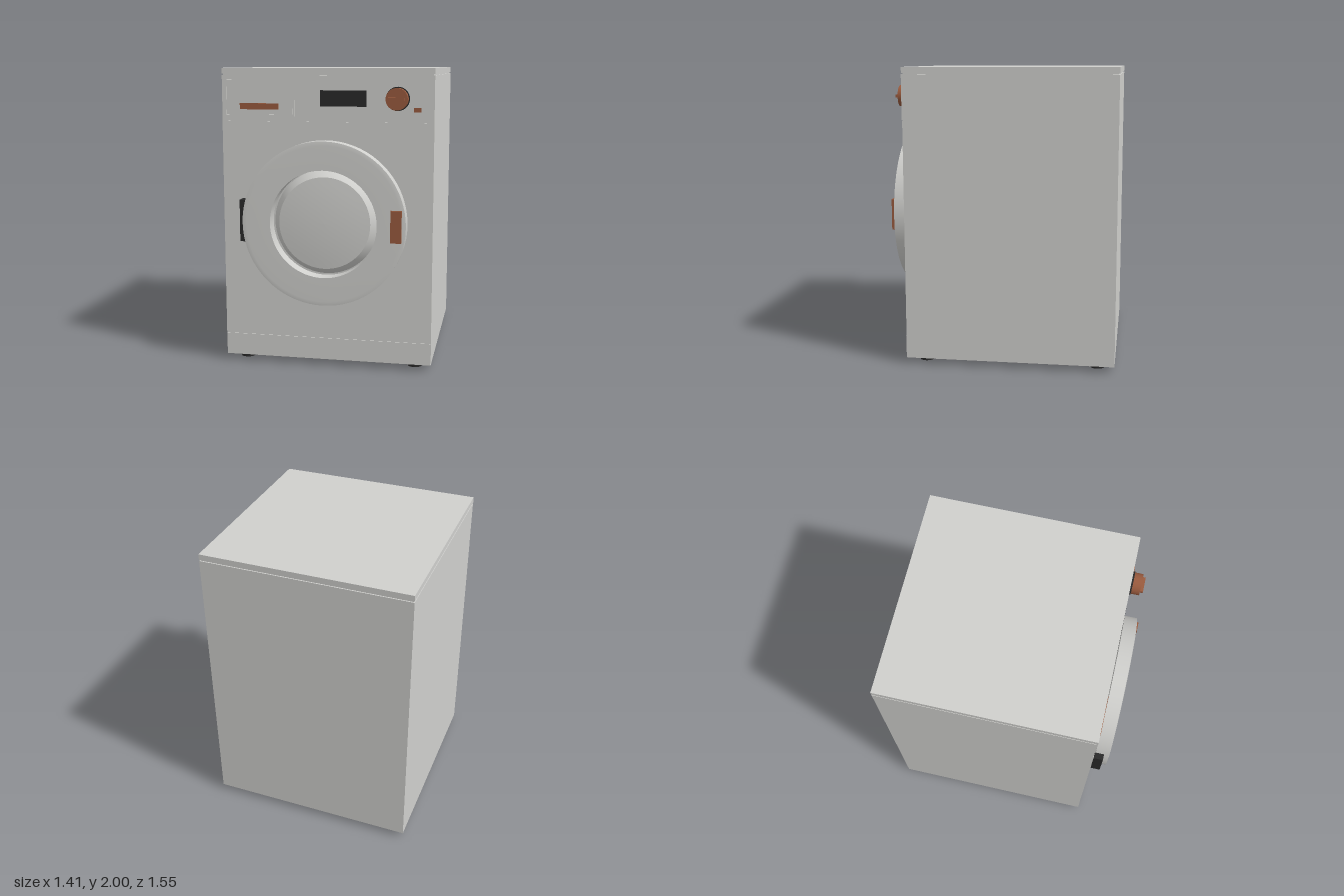
import * as THREE from 'three';

export function createModel() {
  const model = new THREE.Group();
  model.name = 'washingMachine';

  const material = (name, color, side = THREE.FrontSide) => {
    const m = new THREE.MeshStandardMaterial({ color, side });
    m.name = name;
    return m;
  };
  const enamel = material('light grey enamel', 0xd0d0cd);
  const copper = material('copper brown', 0x9a5b3e);
  const black = material('black plastic', 0x2a2a2a);

  const add = (name, geometry, mat, parent = model) => {
    const mesh = new THREE.Mesh(geometry, mat);
    mesh.name = name;
    parent.add(mesh);
    return mesh;
  };
  // Box given by its limits on each axis
  const box = (name, mat, [x0, x1], [y0, y1], [z0, z1], parent = model) => {
    const mesh = add(name, new THREE.BoxGeometry(x1 - x0, y1 - y0, z1 - z0), mat, parent);
    mesh.position.set((x0 + x1) / 2, (y0 + y1) / 2, (z0 + z1) / 2);
    return mesh;
  };
  // Cylinder pointing forward
  const knobDisc = (name, mat, radius, z0, z1, parent) => {
    const geometry = new THREE.CylinderGeometry(radius, radius, z1 - z0, 40);
    geometry.rotateX(Math.PI / 2);
    add(name, geometry, mat, parent).position.z = (z0 + z1) / 2;
  };
  // Surface of revolution about z, one lathe per smooth stretch of [radius, z] points
  const turned = (name, mat, stretches, parent) => {
    const group = new THREE.Group();
    group.name = name;
    stretches.forEach((points) => {
      const geometry = new THREE.LatheGeometry(points.map(([r, z]) => new THREE.Vector2(r, z)), 72);
      geometry.rotateX(Math.PI / 2);
      add(name + 'Surface', geometry, mat, group);
    });
    parent.add(group);
  };

  const W = 0.705, back = -0.773, front = 0.637;

  // Cabinet, lid and the groove between them
  box('cabinet', enamel, [-W, W], [0.04, 1.953], [back, 0.632]);
  box('lidGroove', enamel, [-W + 0.008, W - 0.008], [1.95, 1.964], [back + 0.008, front - 0.008]);
  box('lid', enamel, [-W, W], [1.962, 2], [back, front]);

  // Front panels
  box('frontPanel', enamel, [-W, W], [0.194, 1.652], [0.63, 0.635]);
  box('kickPlate', enamel, [-W + 0.002, W - 0.002], [0.042, 0.19], [0.63, front]);
  box('controlPanel', enamel, [-0.21, W], [1.656, 1.953], [0.63, 0.638]);

  // Detergent drawer inside a raised frame
  const outline = new THREE.Shape();
  const rect = (path, x0, x1, y0, y1) =>
    path.moveTo(x0, y0).lineTo(x1, y0).lineTo(x1, y1).lineTo(x0, y1).closePath();
  rect(outline, -0.685, -0.213, 1.685, 1.922);
  const opening = new THREE.Path();
  rect(opening, -0.675, -0.223, 1.695, 1.912);
  outline.holes.push(opening);
  add('drawerFrame', new THREE.ExtrudeGeometry(outline, { depth: 0.008, bevelEnabled: false }), enamel)
    .position.z = 0.63;
  box('drawerFront', enamel, [-0.671, -0.227], [1.699, 1.908], [0.63, 0.636]);
  box('drawerHandle', copper, [-0.58, -0.32], [1.73, 1.77], [0.634, 0.646]);

  // Display and button
  box('display', black, [-0.04, 0.267], [1.753, 1.857], [0.634, 0.642]);
  box('button', copper, [0.573, 0.622], [1.72, 1.748], [0.634, 0.648]);

  // Programme dial
  const dial = new THREE.Group();
  dial.name = 'dial';
  dial.position.set(0.47, 1.805, 0);
  knobDisc('dialBase', black, 0.077, 0.634, 0.652, dial);
  knobDisc('dialKnob', copper, 0.071, 0.652, 0.708, dial);
  box('dialGrip', copper, [-0.053, 0.053], [-0.01, 0.01], [0.7, 0.728], dial);
  model.add(dial);

  // Round door with its window
  const door = new THREE.Group();
  door.name = 'door';
  door.position.y = 0.992;
  turned('doorRing', enamel, [
    [[0.355, 0.657], [0.543, 0.657]],
    [[0.543, 0.657], [0.543, 0.75]],
    [[0.543, 0.75], [0.515, 0.754], [0.355, 0.754]],
    [[0.355, 0.754], [0.355, 0.657]],
  ], door);
  const dome = [];
  for (let i = 0; i <= 6; i++) {
    const r = 0.305 * (1 - i / 6);
    dome.push([r, 0.702 + 0.016 * (1 - (r / 0.305) ** 2)]);
  }
  turned('window', enamel, [[[0.352, 0.63], [0.33, 0.67], [0.305, 0.702]], dome], door);
  model.add(door);

  box('doorHandle', copper, [0.445, 0.516], [0.89, 1.1], [0.745, 0.773]);
  box('doorHinge', black, [-0.572, -0.53], [0.855, 1.135], [0.63, 0.715]);

  // Feet
  for (const x of [-0.587, 0.587]) {
    for (const z of [0.52, -0.655]) {
      add('foot', new THREE.CylinderGeometry(0.048, 0.048, 0.044, 24), black).position.set(x, 0.022, z);
    }
  }

  return model;
}
